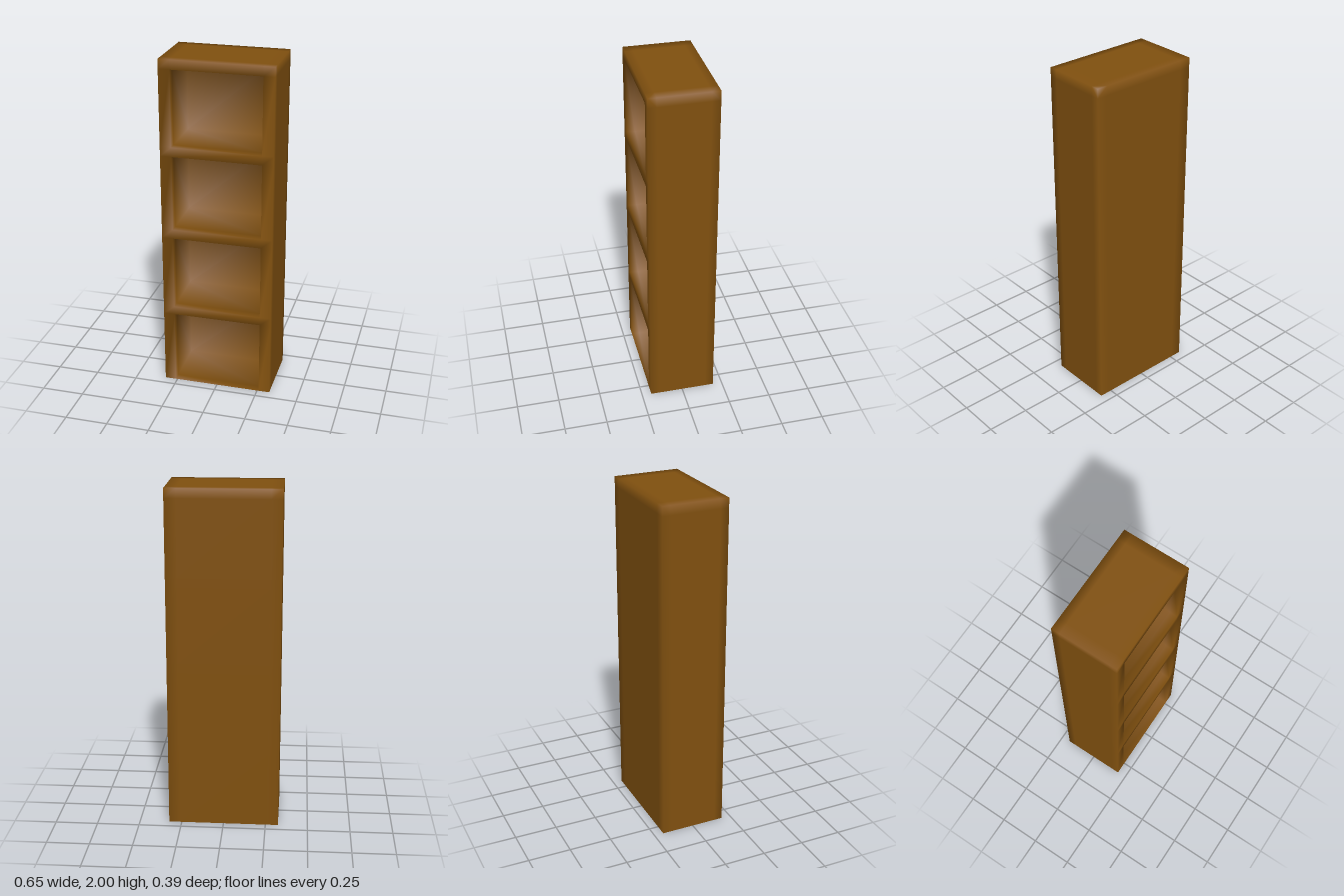
import * as THREE from 'three';
import { mergeVertices } from 'three/addons/utils/BufferGeometryUtils.js';

// Grid planes: side walls, shelves, back panel, and a narrow band behind the front edge
const GRID = [
  [-0.325, -0.26, 0.26, 0.325],
  [0, 0.45, 0.5, 0.945, 1, 1.445, 1.5, 1.945, 2],
  [-0.194, -0.145, 0.145, 0.194],
];
const COUNT = GRID.map((g) => g.length - 1);

const inside = (c) => c.every((v, a) => v >= 0 && v < COUNT[a]);

// Wood everywhere except the four compartments; below the ground counts as solid,
// which gives the lowest compartment a floor and leaves the hollow walls open underneath
function solid(c) {
  if (c[1] < 0) return true;
  if (!inside(c)) return false;
  return !(c[0] === 1 && c[1] % 2 === 0 && c[2] > 0);
}

export function createModel() {
  const group = new THREE.Group();
  group.name = 'bookcase';
  const positions = [];
  const faceParts = [];

  // One quad wherever wood meets air, facing the air
  function addFace(axis, cell, next) {
    const u = (axis + 1) % 3, v = (axis + 2) % 3;
    const corners = [[0, 0], [1, 0], [1, 1], [0, 1]].map(([du, dv]) => {
      const p = [0, 0, 0];
      p[axis] = GRID[axis][next[axis]];
      p[u] = GRID[u][cell[u] + du];
      p[v] = GRID[v][cell[v] + dv];
      return p;
    });
    if (!solid(cell)) corners.reverse();
    for (const i of [0, 1, 2, 0, 2, 3]) positions.push(...corners[i]);
    if (axis === 1 && next[1] === 0) faceParts.push('floor');
    else if (!inside(cell) || !inside(next)) faceParts.push('casing');
    else faceParts.push(axis === 1 ? 'shelves' : 'compartmentWalls');
  }

  for (let axis = 0; axis < 3; axis++) {
    const u = (axis + 1) % 3, v = (axis + 2) % 3;
    for (let a = -1; a < COUNT[axis]; a++)
      for (let b = 0; b < COUNT[u]; b++)
        for (let c = 0; c < COUNT[v]; c++) {
          const cell = [0, 0, 0];
          cell[axis] = a; cell[u] = b; cell[v] = c;
          const next = cell.slice();
          next[axis]++;
          if (solid(cell) !== solid(next)) addFace(axis, cell, next);
        }
  }

  // Shared normals soften the edges across all parts
  let shell = new THREE.BufferGeometry();
  shell.setAttribute('position', new THREE.Float32BufferAttribute(positions, 3));
  shell = mergeVertices(shell);
  shell.computeVertexNormals();

  // Split the shell into named parts
  const wood = new THREE.MeshStandardMaterial({ color: 0x80500f, side: THREE.DoubleSide });
  for (const name of ['casing', 'shelves', 'compartmentWalls', 'floor']) {
    const indices = [...shell.index.array].filter((_, i) => faceParts[Math.floor(i / 6)] === name);
    const part = shell.clone().setIndex(indices).toNonIndexed();
    const mesh = new THREE.Mesh(part, wood);
    mesh.name = name;
    group.add(mesh);
  }
  return group;
}
